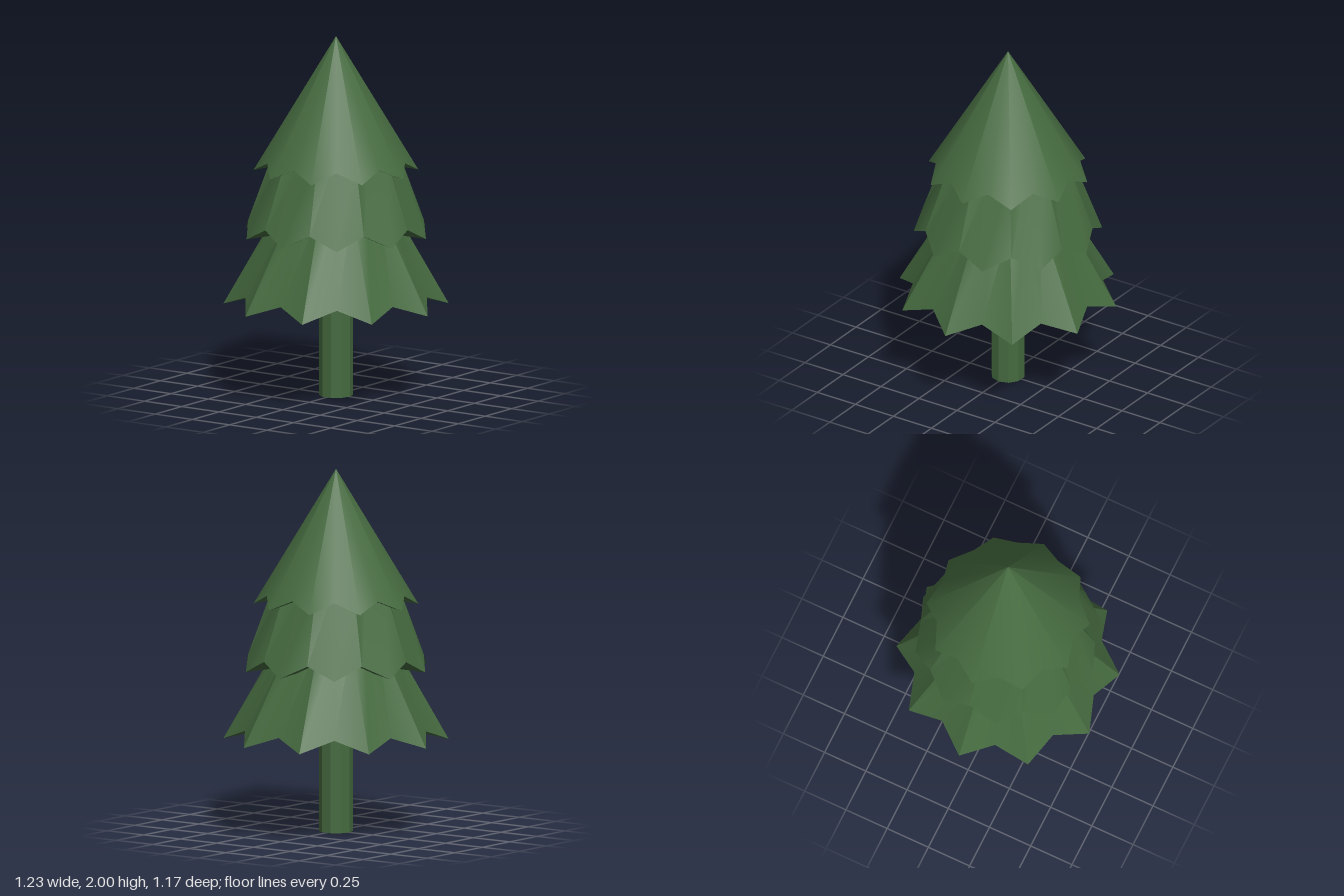
import * as THREE from 'three';
import { toCreasedNormals } from 'three/addons/utils/BufferGeometryUtils.js';

const SIDES = 10;
const green = new THREE.MeshStandardMaterial({ color: 0x456a3f });

// A skirt of branches: a pleated cone with a zigzag hem and a closed underside.
// top, tip and valley are [radius, height]; topValley is the top radius above each valley.
function tierGeometry({ top, topValley, tip, valley, underY, turn }) {
  const n = SIDES * 2;
  const point = (i, r, y) => {
    const a = turn + (i * Math.PI) / SIDES;
    return [r * Math.cos(a), y, r * Math.sin(a)];
  };
  const hem = (i) => point(i, ...(i % 2 ? valley : tip));
  const crown = (i) => point(i, i % 2 ? topValley : top[0], top[1]);
  const under = [0, underY, 0];
  const positions = [];
  const tri = (...corners) => corners.forEach((c) => positions.push(...c));

  for (let i = 0; i < n; i++) {
    const j = (i + 1) % n;
    tri(crown(i), hem(j), hem(i));
    if (top[0] > 0) {
      tri(crown(i), crown(j), hem(j));
      tri([0, top[1], 0], crown(j), crown(i));
    }
    tri(under, hem(i), hem(j));
  }
  const geometry = new THREE.BufferGeometry();
  geometry.setAttribute('position', new THREE.Float32BufferAttribute(positions, 3));
  return toCreasedNormals(geometry, 0.58);
}

export function createModel() {
  const tree = new THREE.Group();
  tree.name = 'pineTree';
  const add = (name, geometry) => {
    const mesh = new THREE.Mesh(geometry, green);
    mesh.name = name;
    tree.add(mesh);
  };

  // Trunk, with a corner facing +x
  const trunk = new THREE.CylinderGeometry(0.093, 0.093, 0.72, SIDES).toNonIndexed();
  trunk.rotateY(Math.PI / 2).translate(0, 0.36, 0);
  add('trunk', toCreasedNormals(trunk, 0.5));

  // Three overlapping tiers; the middle one is turned by half a step
  const half = Math.PI / SIDES;
  add('lowerBranches', tierGeometry({
    top: [0.29, 1.08], topValley: 0.275, tip: [0.615, 0.51], valley: [0.52, 0.575], underY: 0.64, turn: 0,
  }));
  add('middleBranches', tierGeometry({
    top: [0.28, 1.4], topValley: 0.325, tip: [0.515, 0.9], valley: [0.48, 0.975], underY: 0.94, turn: half,
  }));
  add('upperBranches', tierGeometry({
    top: [0, 2], topValley: 0, tip: [0.45, 1.255], valley: [0.395, 1.315], underY: 1.33, turn: 0,
  }));
  return tree;
}
